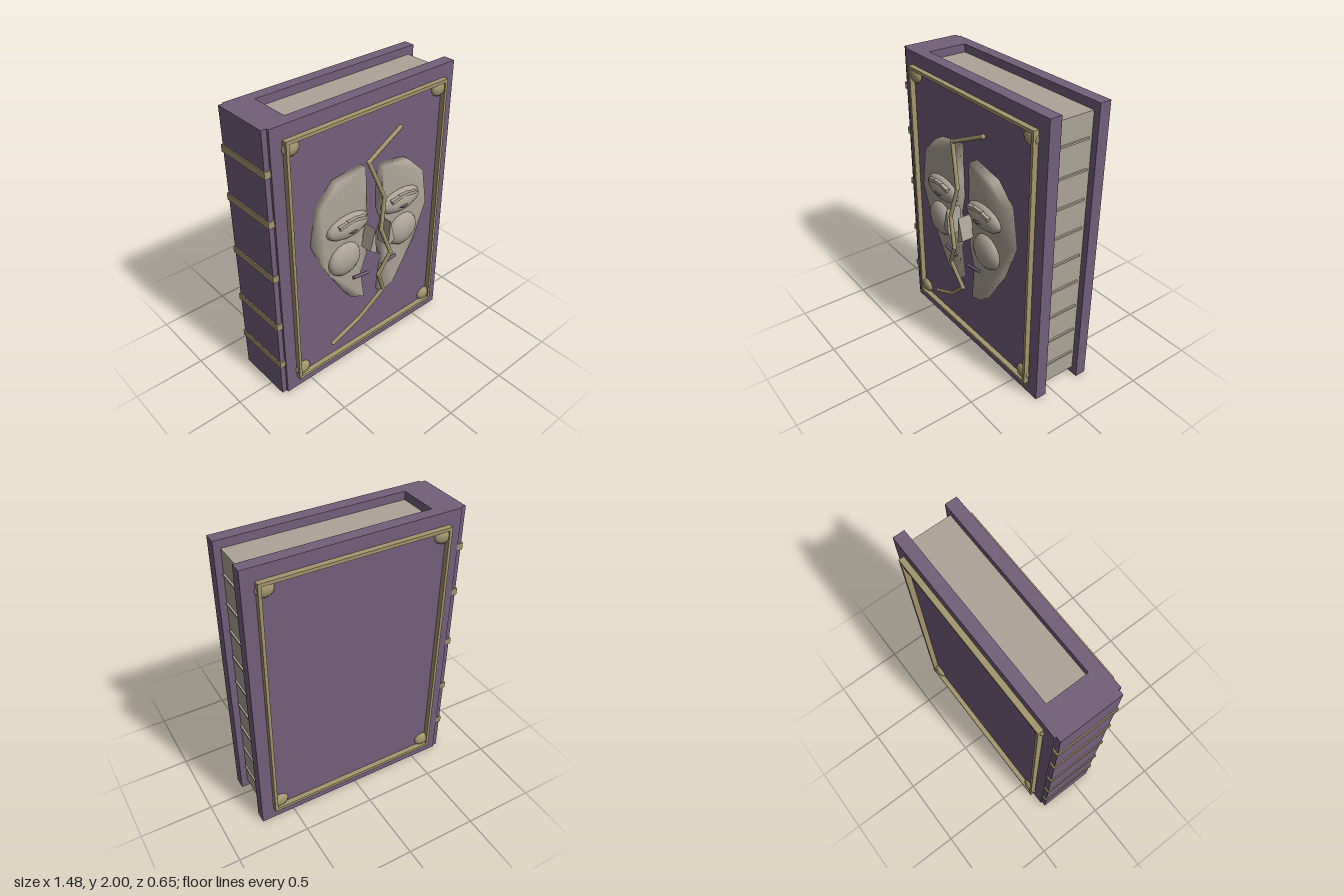
import * as THREE from 'three';
import { mergeVertices } from 'three/addons/utils/BufferGeometryUtils.js';

export function createModel() {
  const model = new THREE.Group();
  model.name = 'maskBook';

  const material = (name, color) => {
    const m = new THREE.MeshStandardMaterial({ color });
    m.name = name;
    return m;
  };
  const purple = material('purple leather', 0x735f7b);
  const gold = material('old gold', 0xa4966e);
  const bone = material('bone', 0xaca497);

  const add = (name, geometry, mat, x = 0, y = 0, z = 0) => {
    const mesh = new THREE.Mesh(geometry, mat);
    mesh.name = name;
    mesh.position.set(x, y, z);
    model.add(mesh);
    return mesh;
  };
  // Box given by its limits on each axis
  const box = (name, mat, x0, x1, y0, y1, z0, z1) =>
    add(name, new THREE.BoxGeometry(x1 - x0, y1 - y0, z1 - z0), mat,
      (x0 + x1) / 2, (y0 + y1) / 2, (z0 + z1) / 2);
  const ellipsoid = (name, mat, x, y, z, rx, ry, rz, w = 12, h = 8) =>
    add(name, new THREE.SphereGeometry(1, w, h).scale(rx, ry, rz), mat, x, y, z);
  const extrude = (points, z0, z1) => {
    const shape = new THREE.Shape(points.map(([x, y]) => new THREE.Vector2(x, y)));
    return new THREE.ExtrudeGeometry(shape, { depth: z1 - z0, bevelEnabled: false }).translate(0, 0, z0);
  };
  // Round rod between two points
  const rod = (name, mat, a, b, r) => {
    const d = b.clone().sub(a);
    const mesh = add(name, new THREE.CylinderGeometry(r, r, d.length(), 8), mat);
    mesh.position.copy(a).add(b).multiplyScalar(0.5);
    mesh.quaternion.setFromUnitVectors(new THREE.Vector3(0, 1, 0), d.normalize());
  };

  // Covers, spine and page block
  box('frontCover', purple, -0.7, 0.735, 0, 2, 0.06, 0.142);
  box('backCover', purple, -0.7, 0.735, 0, 2, -0.294, -0.216);
  box('spine', purple, -0.735, -0.535, 0, 2, -0.283, 0.125);
  box('pages', bone, -0.54, 0.69, 0.055, 1.945, -0.216, 0.06);
  for (let i = 0; i < 9; i++) {
    const y = 0.213 + i * 0.1968;
    box('pageLine', bone, 0.685, 0.702, y - 0.006, y + 0.006, -0.19, 0.043);
  }
  // Raised bands on the spine
  for (const y of [0.27, 0.605, 1.0, 1.4, 1.73]) {
    box('spineBand', gold, -0.742, -0.7, y - 0.023, y + 0.023, -0.292, 0.135);
  }

  // Gold frame and corner studs on both covers
  for (const [z0, z1, zs] of [[0.14, 0.178, 0.147], [-0.33, -0.292, -0.299]]) {
    for (const y of [0.1, 1.9]) box('frameRail', gold, -0.618, 0.65, y - 0.011, y + 0.011, z0, z1);
    for (const x of [-0.608, 0.64]) box('frameStile', gold, x - 0.01, x + 0.01, 0.09, 1.91, z0, z1);
    for (const sx of [-1, 1]) {
      for (const y of [0.155, 1.85]) {
        ellipsoid('cornerStud', gold, 0.015 + sx * 0.585, y, zs, 0.06, 0.05, 0.028);
      }
    }
  }

  // Two halves of the broken mask, softly shaded
  const halves = {
    maskRightHalf: [[-0.06, 1.555], [-0.28, 1.525], [-0.415, 1.395], [-0.46, 1.12], [-0.38, 0.915],
      [-0.185, 0.6], [-0.062, 0.535], [-0.095, 0.77], [-0.04, 0.9], [-0.08, 1.05], [-0.045, 1.18], [-0.05, 1.34]],
    maskLeftHalf: [[0.087, 1.505], [0.08, 1.34], [0.08, 1.18], [0.12, 1.07], [0.08, 0.915], [0.13, 0.745],
      [0.1, 0.48], [0.21, 0.52], [0.395, 0.8], [0.495, 1.07], [0.45, 1.335], [0.315, 1.465]],
  };
  for (const [name, points] of Object.entries(halves)) {
    let g = extrude(points, 0.14, 0.2);
    g.deleteAttribute('normal');
    g.deleteAttribute('uv');
    g = mergeVertices(g);
    g.computeVertexNormals();
    add(name, g, bone);
  }

  // Facial features, mirrored about the crack
  const mid = 0.017;
  for (const s of [-1, 1]) {
    const ex = mid + s * 0.225;
    ellipsoid('eyelid', bone, ex, 1.195, 0.2, 0.172, 0.085, 0.055);
    const eye = new THREE.OctahedronGeometry(1).toNonIndexed().scale(0.092, 0.04, 0.03);
    eye.computeVertexNormals();
    add('eye', eye, purple, mid + s * 0.22, 1.172, 0.232);
    for (const k of [-1, 0, 1]) {
      const lid = add('upperLid', new THREE.BoxGeometry(0.08, 0.024, 0.03), bone,
        mid + s * 0.22 + k * 0.066, 1.25 - Math.abs(k) * 0.008, 0.238);
      lid.rotation.z = -k * 0.2;
    }
    ellipsoid('cheek', bone, mid + s * 0.255, 0.95, 0.2, 0.131, 0.12, 0.056);

    const nose = [[mid + s * 0.108, 0.98], [mid + s * 0.052, 0.945], [mid + s * 0.066, 1.135]];
    add('nose', extrude(nose, 0.18, 0.285), bone);

    rod('mouth', purple, new THREE.Vector3(mid + s * 0.19, 0.766, 0.217),
      new THREE.Vector3(mid + s * 0.064, 0.748, 0.217), 0.011);
  }

  // Jagged gold crack arching over the mask
  const crack = [[0.225, 1.725, 0.195], [-0.055, 1.595, 0.22], [0.045, 1.325, 0.26], [0, 1.11, 0.287],
    [0.066, 0.915, 0.309], [-0.013, 0.755, 0.285], [0.066, 0.565, 0.25], [-0.115, 0.39, 0.22],
    [-0.34, 0.268, 0.197]].map((p) => new THREE.Vector3(...p));
  crack.forEach((p, i) => {
    ellipsoid('crackJoint', gold, p.x, p.y, p.z, 0.016, 0.016, 0.016, 8, 6);
    if (i) rod('crackSegment', gold, crack[i - 1], p, 0.014);
  });

  return model;
}
